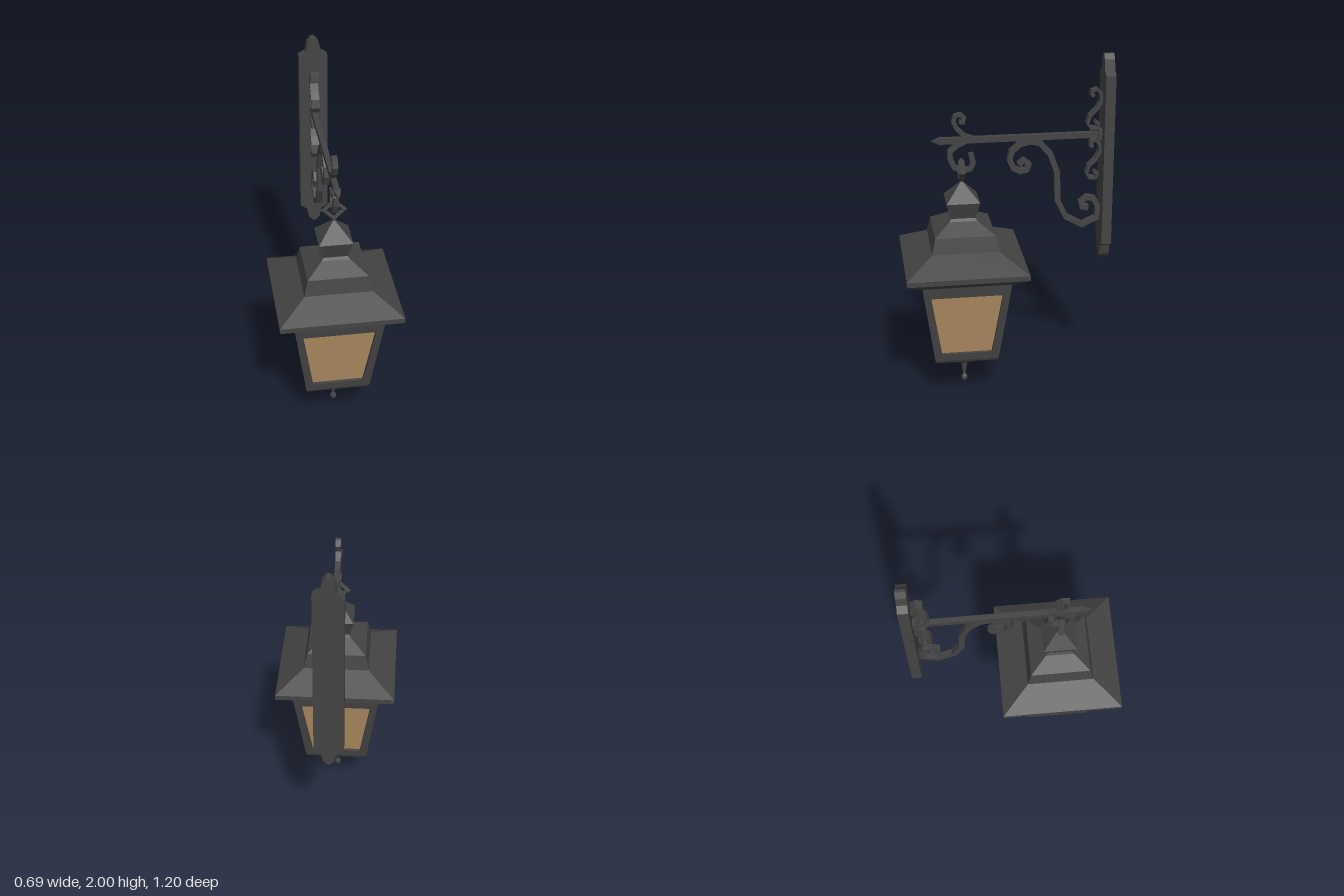
import * as THREE from 'three';

const iron = new THREE.MeshStandardMaterial({ color: 0x444444, flatShading: true });
const glass = new THREE.MeshStandardMaterial({ color: 0xb08c60, flatShading: true, side: THREE.DoubleSide });
const LAMP_Z = 0.255;

function addMesh(parent, name, geometry, material = iron) {
  const g = geometry.index ? geometry.toNonIndexed() : geometry;
  g.computeVertexNormals();
  const mesh = new THREE.Mesh(g, material);
  mesh.name = name;
  parent.add(mesh);
  return mesh;
}

// Square-plan turned solid; profile is [half width, y] from bottom to top
function squareLathe(profile) {
  const pts = profile.map(([r, y]) => new THREE.Vector2(r * Math.SQRT2, y));
  return new THREE.LatheGeometry(pts, 4).rotateY(Math.PI / 4);
}

// Flat forged bar following [z, y] points, bar thickness t, half width hx in x
function scroll(points, t, hx) {
  const p = points.map(([z, y]) => new THREE.Vector2(z, y));
  const left = [], right = [];
  p.forEach((c, i) => {
    const a = p[Math.max(i - 1, 0)], b = p[Math.min(i + 1, p.length - 1)];
    const d = b.clone().sub(a).normalize();
    const n = new THREE.Vector2(-d.y, d.x).multiplyScalar(t / 2);
    left.push(c.clone().add(n));
    right.push(c.clone().sub(n));
  });
  const shape = new THREE.Shape([...left, ...right.reverse()]);
  return new THREE.ExtrudeGeometry(shape, { depth: 2 * hx, bevelEnabled: false })
    .translate(0, 0, -hx).rotateY(-Math.PI / 2);
}

// Strips of quads joining successive four-corner loops (counter-clockwise from outside)
function loopStrips(loops) {
  const v = [];
  for (let k = 0; k + 1 < loops.length; k++) {
    for (let i = 0; i < 4; i++) {
      const j = (i + 1) % 4, o = loops[k], n = loops[k + 1];
      v.push(...o[i], ...o[j], ...n[j], ...o[i], ...n[j], ...n[i]);
    }
  }
  const g = new THREE.BufferGeometry();
  g.setAttribute('position', new THREE.Float32BufferAttribute(v, 3));
  return g;
}

// Corners of a trapezoid leaning outwards to the top
const trapezoid = (wb, yb, zb, wt, yt, zt) =>
  [[-wb, yb, zb], [wb, yb, zb], [wt, yt, zt], [-wt, yt, zt]];

function createLantern() {
  const lantern = new THREE.Group();
  lantern.name = 'lantern';
  lantern.position.z = LAMP_Z;

  addMesh(lantern, 'roof', squareLathe([
    [0, 0.75], [0.26, 0.75], [0.345, 0.805], [0.345, 0.835], [0.19, 0.925],
    [0.17, 1.015], [0.08, 1.075], [0.068, 1.09], [0.095, 1.185], [0, 1.295],
  ]));
  addMesh(lantern, 'base', squareLathe([
    [0, 0.145], [0.038, 0.15], [0.1, 0.215], [0.178, 0.235], [0.185, 0.25], [0, 0.25],
  ]));
  addMesh(lantern, 'finial', new THREE.LatheGeometry([
    [0, 0], [0.02, 0.03], [0.018, 0.045], [0.008, 0.062], [0.02, 0.135], [0.02, 0.155],
  ].map(([r, y]) => new THREE.Vector2(r, y)), 6));

  // Four window frames with recessed panes
  const outer = trapezoid(0.185, 0.25, 0.185, 0.255, 0.75, 0.255);
  const opening = trapezoid(0.145, 0.295, 0.1913, 0.205, 0.68, 0.2452);
  const inner = opening.map(([x, y, z]) => [x, y, z - 0.02]);
  for (let i = 0; i < 4; i++) {
    const side = new THREE.Group();
    side.name = 'lanternSide' + (i + 1);
    side.rotation.y = i * Math.PI / 2;
    addMesh(side, 'windowFrame', loopStrips([outer, opening, inner]));
    const pane = new THREE.BufferGeometry();
    pane.setAttribute('position', new THREE.Float32BufferAttribute(
      [0, 1, 2, 0, 2, 3].flatMap(k => inner[k]), 3));
    addMesh(side, 'glassPane', pane, glass);
    lantern.add(side);
  }

  const ring = addMesh(lantern, 'hangingRing', new THREE.TorusGeometry(0.056, 0.018, 4, 4));
  ring.position.y = 1.355;
  return lantern;
}

function createBracket() {
  const bracket = new THREE.Group();
  bracket.name = 'wallBracket';

  // Wall plate with stepped points at both ends
  const end = [[0.083, 1.89], [0.045, 1.913], [0.033, 1.972], [0.008, 2]];
  const rightTop = end.map(([x, y]) => new THREE.Vector2(x, y));
  const flip = (pts, sx, sy) => pts.map(p => new THREE.Vector2(p.x * sx, sy < 0 ? 2.78 - p.y : p.y));
  const outline = [
    ...rightTop, ...flip(rightTop, -1, 1).reverse(),
    ...flip(rightTop, -1, -1), ...flip(rightTop, 1, -1).reverse(),
  ];
  addMesh(bracket, 'wallPlate', new THREE.ExtrudeGeometry(new THREE.Shape(outline),
    { depth: 0.057, bevelEnabled: false }).translate(0, 0, -0.6));

  // Arm, its socket and its pointed tip
  addMesh(bracket, 'arm', new THREE.BoxGeometry(0.03, 0.034, 0.9)).position.set(0, 1.533, -0.095);
  addMesh(bracket, 'armSocket', new THREE.BoxGeometry(0.044, 0.066, 0.022)).position.set(0, 1.533, -0.534);
  const tip = addMesh(bracket, 'armTip', squareLathe([[0, 0], [0.015, 0], [0.02, 0.025], [0, 0.082]]));
  tip.rotation.x = Math.PI / 2;
  tip.position.set(0, 1.533, 0.345);

  // Large supporting scroll under the arm
  addMesh(bracket, 'supportScroll', scroll([
    [-0.07, 1.375], [-0.1, 1.4], [-0.128, 1.375], [-0.115, 1.342], [-0.08, 1.335],
    [-0.04, 1.355], [-0.018, 1.405], [-0.03, 1.455], [-0.075, 1.495], [-0.13, 1.51],
    [-0.19, 1.498], [-0.25, 1.43], [-0.29, 1.32], [-0.295, 1.15], [-0.345, 1.045],
    [-0.44, 0.99], [-0.525, 1.03], [-0.532, 1.1], [-0.505, 1.148], [-0.465, 1.158],
    [-0.432, 1.13], [-0.438, 1.1], [-0.475, 1.095],
  ], 0.033, 0.017));

  // Hook below the arm and curl above it
  addMesh(bracket, 'lanternHook', scroll([
    [0.23, 1.528], [0.28, 1.505], [0.318, 1.47], [0.318, 1.425], [0.295, 1.375],
    [0.25, 1.355], [0.205, 1.362], [0.188, 1.4], [0.202, 1.455],
  ], 0.03, 0.015));
  addMesh(bracket, 'armCurl', scroll([
    [0.18, 1.538], [0.235, 1.558], [0.278, 1.6], [0.297, 1.645], [0.288, 1.675],
    [0.258, 1.683], [0.236, 1.662], [0.243, 1.638], [0.265, 1.64],
  ], 0.024, 0.015));

  // Pair of thin S scrolls on the plate
  const sCurve = [
    [-0.494, 1.762], [-0.478, 1.768], [-0.482, 1.79], [-0.508, 1.8], [-0.532, 1.775],
    [-0.534, 1.728], [-0.51, 1.685], [-0.472, 1.648], [-0.459, 1.605], [-0.478, 1.575],
    [-0.513, 1.573], [-0.522, 1.6], [-0.502, 1.612],
  ];
  for (const [name, dy] of [['upperSScroll', 0], ['lowerSScroll', -0.297]]) {
    addMesh(bracket, name, scroll(sCurve, 0.017, 0.024)).position.y = dy;
  }
  return bracket;
}

export function createModel() {
  const model = new THREE.Group();
  model.name = 'wallLantern';
  model.add(createLantern(), createBracket());
  return model;
}
